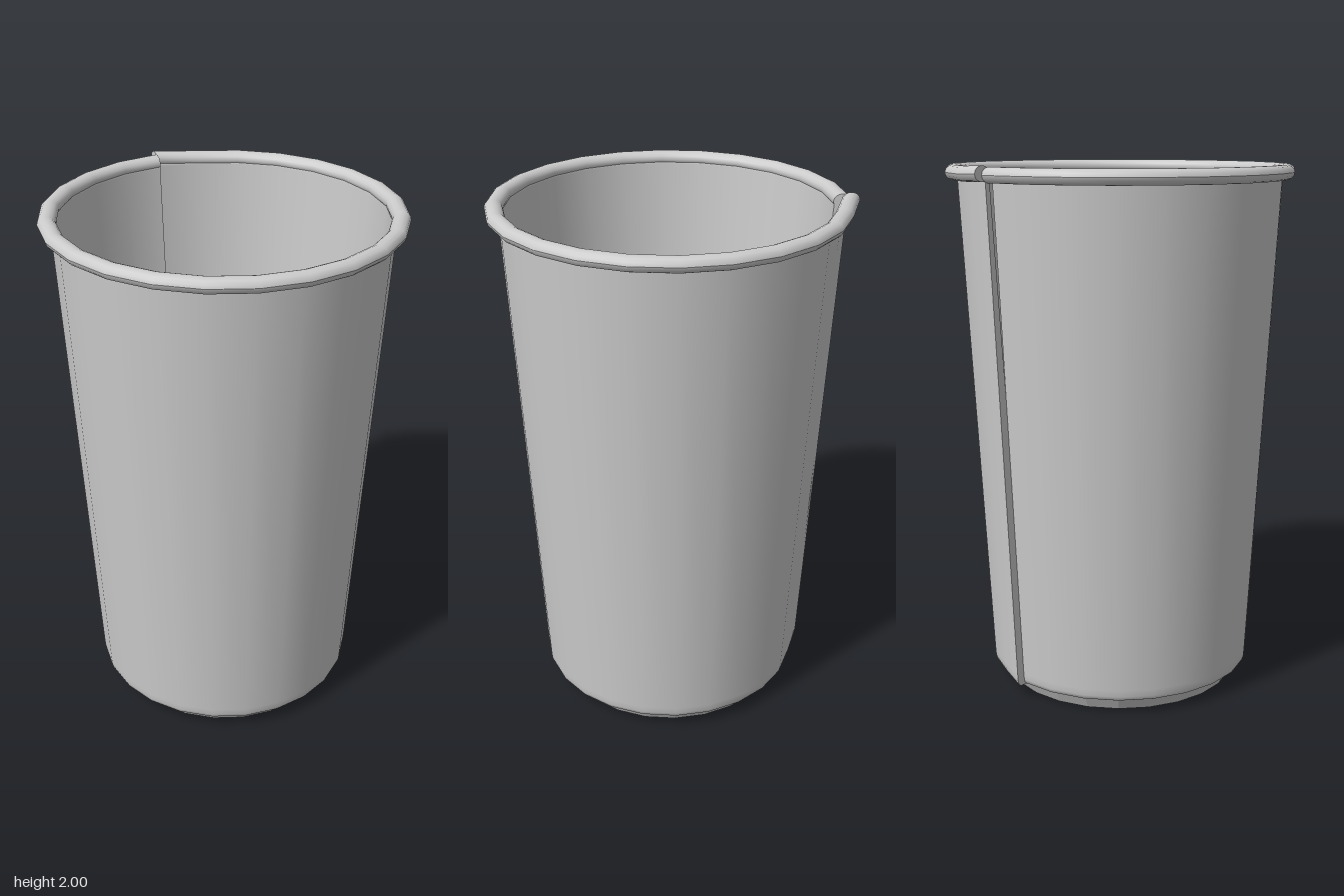
import * as THREE from 'three';

const SIDES = 24;
const SEAM = Math.PI * 1.25; // overlap seam at the back, on -x
const STEP = 0.03;           // how far the overlapping end stands out

const material = new THREE.MeshStandardMaterial({ color: 0xcccccc, side: THREE.DoubleSide });
const flatMaterial = new THREE.MeshStandardMaterial({ color: 0xcccccc, side: THREE.DoubleSide, flatShading: true });

const toPoints = (list) => list.map(([r, y]) => new THREE.Vector2(r, y));

// Sweeps a closed profile around the cup; its last ring steps outward over the first
function wrappedSheet(name, points, lift) {
  const group = new THREE.Group();
  group.name = name;
  const closed = [...points, points[0].clone()];
  const sweep = new THREE.LatheGeometry(closed, SIDES, SEAM, Math.PI * 2);
  const pos = sweep.attributes.position;
  for (let i = SIDES * closed.length; i < pos.count; i++) {
    pos.setXYZ(i, pos.getX(i) + STEP * Math.sin(SEAM), pos.getY(i) + lift, pos.getZ(i) + STEP * Math.cos(SEAM));
  }
  const body = new THREE.Mesh(sweep, material);
  body.name = name + 'Body';
  group.add(body);

  // Cut ends at the seam
  for (const [end, dx, dy] of [['Inner', 0, 0], ['Outer', STEP, lift]]) {
    const cap = new THREE.ShapeGeometry(new THREE.Shape(points));
    cap.translate(dx, dy, 0).rotateY(SEAM - Math.PI / 2);
    const mesh = new THREE.Mesh(cap, material);
    mesh.name = name + end + 'End';
    group.add(mesh);
  }
  return group;
}

export function createModel() {
  const cup = new THREE.Group();
  cup.name = 'cup';

  // Tapered wall; close pairs of points keep the lower edge crisp
  cup.add(wrappedSheet('wall', toPoints([
    [0.465, 0.055], [0.495, 0.055], [0.505, 0.06], [0.51, 0.075], [0.512, 0.1],
    [0.61, 1.95], [0.61, 1.965], [0.592, 1.965], [0.592, 1.95], [0.466, 0.12], [0.465, 0.1],
  ]), 0));

  // Rolled rim
  const rim = [];
  for (let i = 0; i < 14; i++) {
    const a = (i / 14) * Math.PI * 2;
    rim.push(new THREE.Vector2(0.622 + 0.033 * Math.cos(a), 1.967 + 0.028 * Math.sin(a)));
  }
  cup.add(wrappedSheet('rim', rim, 0.005));

  // Floor with the tapered foot ring and the recess beneath
  const base = new THREE.Mesh(new THREE.LatheGeometry(toPoints([
    [0, 0.11], [0.41, 0.11], [0.43, 0], [0.45, 0], [0.48, 0.058], [0.485, 0.12], [0, 0.12],
  ]), SIDES), flatMaterial);
  base.name = 'floorAndFoot';
  cup.add(base);

  return cup;
}
